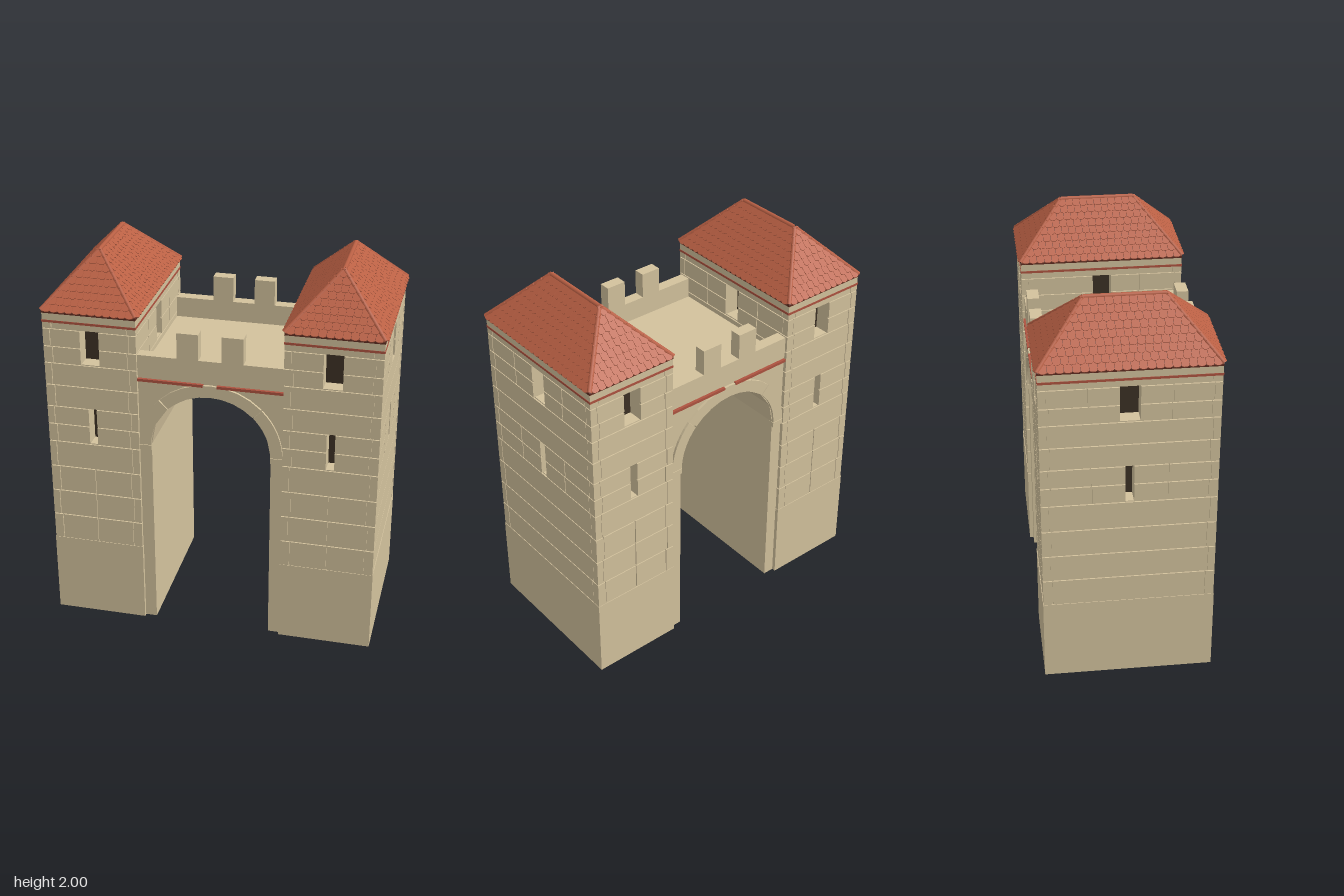
import * as THREE from 'three';
import { mergeGeometries } from 'three/addons/utils/BufferGeometryUtils.js';

const mat = (name, color) => {
  const m = new THREE.MeshStandardMaterial({ color });
  m.name = name;
  return m;
};
const V = (x, y, z) => new THREE.Vector3(x, y, z);

// axis-aligned box from its limits
function slab(x0, x1, y0, y1, z0, z1) {
  return new THREE.BoxGeometry(x1 - x0, y1 - y0, z1 - z0)
    .translate((x0 + x1) / 2, (y0 + y1) / 2, (z0 + z1) / 2);
}

function rectPath(x0, x1, y0, y1, Type = THREE.Path) {
  const p = new Type();
  p.moveTo(x0, y0);
  p.lineTo(x1, y0);
  p.lineTo(x1, y1);
  p.lineTo(x0, y1);
  p.closePath();
  return p;
}

const BASE = 0.44, TOP = 1.69, HX = 0.24, HZ = 0.425, WALL = 0.075, GAP = 0.005, SKIN = 0.008;
const COURSES = [BASE, 0.585, 0.73, 0.875, 1.02, 1.12, 1.22, 1.34, 1.46, 1.55, 1.645, TOP];
const WINDOWS = [{ w: 0.021, y0: 1.02, y1: 1.22 }, { w: 0.048, y0: 1.46, y1: 1.645 }];

// one tower wall facing +z: pierced backing plus a layer of stone courses
function wallGeometry(half, dist) {
  const shape = rectPath(-half + 0.011, half - 0.011, BASE, TOP, THREE.Shape);
  WINDOWS.forEach(o => shape.holes.push(rectPath(-o.w, o.w, o.y0, o.y1)));
  const parts = [new THREE.ExtrudeGeometry(shape, { depth: WALL, bevelEnabled: false })
    .translate(0, 0, dist - WALL - SKIN)];
  for (let i = 0; i < COURSES.length - 1; i++) {
    const y0 = COURSES[i], y1 = COURSES[i + 1] - GAP;
    const end = half - (i % 2 ? 0.035 : 0.045) - GAP;
    const open = WINDOWS.find(o => y0 > o.y0 - 0.001 && y0 < o.y1 - 0.001);
    let spans = [[-end, end]];
    if (open) {
      const mid = (open.w + end) * 0.45;
      spans = half > 0.3
        ? [[-end, -mid - GAP], [-mid, -open.w], [open.w, mid], [mid + GAP, end]]
        : [[-end, -open.w], [open.w, end]];
    } else if (i < 3 && half < 0.3) {
      spans = [[-end, -GAP / 2], [GAP / 2, end]];
    }
    spans.forEach(([a, b]) =>
      parts.push(slab(a, b, y0, y1, dist - SKIN - 0.002, dist).toNonIndexed()));
  }
  return mergeGeometries(parts);
}

// roof tile with a rounded lower end; y runs up the slope, z out of it
function tileGeometry(w, h) {
  const s = new THREE.Shape();
  s.moveTo(-w / 2, h);
  s.lineTo(-w / 2, 0);
  for (let i = 1; i < 5; i++) {
    const a = Math.PI + (i / 5) * Math.PI;
    s.lineTo(Math.cos(a) * w / 2, Math.sin(a) * h * 0.22);
  }
  s.lineTo(w / 2, 0);
  s.lineTo(w / 2, h);
  s.closePath();
  return new THREE.ExtrudeGeometry(s, { depth: 0.007, bevelEnabled: false }).rotateX(-0.12);
}

const EAVE = 1.735, RIDGE = 1.988, RZ = 0.19, ROWS = 9;

function tiles() {
  const out = [];
  // each slope: outward direction, eave distance, ridge distance, half width at eave and ridge
  const slopes = [
    [V(0, 0, 1), HZ, RZ, HX, 0], [V(0, 0, -1), HZ, RZ, HX, 0],
    [V(1, 0, 0), HX, 0, HZ, RZ], [V(-1, 0, 0), HX, 0, HZ, RZ]];
  for (const [d, d0, d1, w0, w1] of slopes) {
    const e = V(0, 1, 0).cross(d);
    const rise = d.clone().multiplyScalar(d1 - d0).add(V(0, RIDGE - EAVE, 0));
    const u = rise.clone().normalize(), n = e.clone().cross(u);
    const rowH = rise.length() / ROWS;
    for (let r = 0; r < ROWS; r++) {
      const t = r / ROWS;
      const width = 2 * THREE.MathUtils.lerp(w0, w1, t + 0.4 / ROWS);
      const count = Math.max(1, Math.round(width / 0.037));
      const w = width / count;
      for (let k = 0; k < count; k++) {
        const p = V(0, EAVE, 0).addScaledVector(d, d0).addScaledVector(rise, t)
          .addScaledVector(e, -width / 2 + (k + 0.5) * w).addScaledVector(n, 0.005);
        out.push(tileGeometry(w * 0.95, rowH * 1.02)
          .applyMatrix4(new THREE.Matrix4().makeBasis(e, u, n).setPosition(p)));
      }
    }
  }
  return mergeGeometries(out);
}

// solid hipped roof under the tiles
function hipGeometry() {
  const a = [-HX, EAVE, HZ], b = [HX, EAVE, HZ], c = [HX, EAVE, -HZ], d = [-HX, EAVE, -HZ];
  const f = [0, RIDGE, RZ], g = [0, RIDGE, -RZ];
  const tris = [a, b, f, c, d, g, b, c, g, b, g, f, d, a, f, d, f, g, a, d, c, a, c, b];
  const geo = new THREE.BufferGeometry();
  geo.setAttribute('position', new THREE.Float32BufferAttribute(tris.flat(), 3));
  geo.computeVertexNormals();
  return geo;
}

// rounded caps along the ridge and the four hips
function capGeometry() {
  const lines = [[V(0, RIDGE, RZ), V(0, RIDGE, -RZ)]];
  for (const x of [-1, 1]) for (const z of [-1, 1])
    lines.push([V(x * HX, EAVE + 0.004, z * HZ), V(0, RIDGE, z * RZ)]);
  return mergeGeometries(lines.map(([p, q]) =>
    new THREE.TubeGeometry(new THREE.LineCurve3(p, q), 1, 0.012, 8)));
}

// section of the arch ring
function ringGeometry(a0, a1, z) {
  const s = new THREE.Shape(), n = 8;
  for (let i = 0; i <= n; i++) {
    const a = a0 + (a1 - a0) * i / n;
    s[i ? 'lineTo' : 'moveTo'](0.366 * Math.cos(a), 1.05 + 0.363 * Math.sin(a));
  }
  for (let i = n; i >= 0; i--) {
    const a = a0 + (a1 - a0) * i / n;
    s.lineTo(0.305 * Math.cos(a), 1.05 + 0.3 * Math.sin(a));
  }
  s.closePath();
  return new THREE.ExtrudeGeometry(s, { depth: 0.012, bevelEnabled: false }).translate(0, 0, z);
}

export function createModel() {
  const root = new THREE.Group();
  root.name = 'gatehouse';
  const stone = mat('sandstone', 0xd3c29d);
  const clay = mat('clay tile', 0xba6044);
  const under = mat('dark clay', 0x5e2c20);
  const red = mat('red trim', 0xae5340);
  const dark = mat('dark interior', 0x3c3124);
  const add = (parent, name, geo, m) => {
    const mesh = new THREE.Mesh(geo, m);
    mesh.name = name;
    parent.add(mesh);
    return mesh;
  };

  const frontWall = wallGeometry(HX, HZ - 0.003), sideWall = wallGeometry(HZ, HX - 0.003);
  const tileGeo = tiles(), hip = hipGeometry(), caps = capGeometry();

  for (const side of [1, -1]) {
    const tower = new THREE.Group();
    tower.name = side > 0 ? 'leftTower' : 'rightTower';
    tower.position.x = side * 0.605;
    root.add(tower);

    add(tower, 'plinth', slab(-HX, HX, 0, BASE, -HZ, HZ), stone);
    add(tower, 'interior', slab(-HX + 0.085, HX - 0.085, BASE, TOP, -HZ + 0.085, HZ - 0.085), dark);
    for (let k = 0; k < 4; k++)
      add(tower, 'wall', k % 2 ? sideWall : frontWall, stone).rotation.y = k * Math.PI / 2;

    // corner stones, alternating long and short
    const quoins = [];
    for (let i = 0; i < COURSES.length - 1; i++) {
      const w = i % 2 ? 0.035 : 0.045;
      for (const x of [-1, 1]) for (const z of [-1, 1])
        quoins.push(new THREE.BoxGeometry(w, COURSES[i + 1] - COURSES[i] - GAP, w)
          .translate(x * (HX - 0.002 - w / 2), (COURSES[i] + COURSES[i + 1] - GAP) / 2, z * (HZ - 0.002 - w / 2)));
    }
    add(tower, 'cornerStones', mergeGeometries(quoins), stone);

    // cornice, trim and roof
    add(tower, 'redBand', slab(-HX, HX, 1.676, 1.688, -HZ, HZ), red);
    add(tower, 'cornice', slab(-HX + 0.002, HX - 0.002, 1.688, 1.724, -HZ + 0.002, HZ - 0.002), stone);
    add(tower, 'eave', slab(-HX, HX, 1.724, EAVE, -HZ, HZ), under);
    add(tower, 'roofCore', hip, under);
    add(tower, 'roofTiles', tileGeo, clay);
    add(tower, 'ridgeCaps', caps, clay);
  }

  // bridge with its piers and vault
  const bridge = new THREE.Group();
  bridge.name = 'bridge';
  root.add(bridge);
  const s = new THREE.Shape();
  s.moveTo(0.37, 0);
  s.lineTo(0.37, 1.43);
  s.lineTo(-0.37, 1.43);
  s.lineTo(-0.37, 0);
  s.lineTo(-0.305, 0);
  for (let i = 8; i >= 0; i--) {
    const a = i / 8 * Math.PI;
    s.lineTo(0.305 * Math.cos(a), 1.05 + 0.3 * Math.sin(a));
  }
  s.lineTo(0.305, 0);
  s.closePath();
  add(bridge, 'archWall', new THREE.ExtrudeGeometry(s, { depth: 0.81, bevelEnabled: false })
    .translate(0, 0, -0.405), stone);

  const box = (name, x0, x1, y0, y1, z0, z1, sz, m) =>
    add(bridge, name, slab(x0, x1, y0, y1, Math.min(z0 * sz, z1 * sz), Math.max(z0 * sz, z1 * sz)), m);
  for (const z of [1, -1]) {
    box('parapet', -0.37, 0.37, 1.43, 1.54, 0.35, 0.41, z, stone);
    for (const x of [-1, 1]) {
      box('merlon', x * 0.112 - 0.054, x * 0.112 + 0.054, 1.54, 1.675, 0.35, 0.41, z, stone);
      box('redStripe', x * 0.2025 - 0.1675, x * 0.2025 + 0.1675, 1.402, 1.416, 0.4, 0.42, z, red);
      box('impost', x * 0.336 - 0.032, x * 0.336 + 0.032, 1.02, 1.048, 0.39, 0.418, z, stone);
    }
    const q = Math.PI / 4, g = 0.008;
    for (const [a, b] of [[0, q - g], [q + g, 3 * q - g], [3 * q + g, 4 * q]])
      add(bridge, 'archRing', ringGeometry(a, b, z > 0 ? 0.405 : -0.417), stone);
  }
  return root;
}
